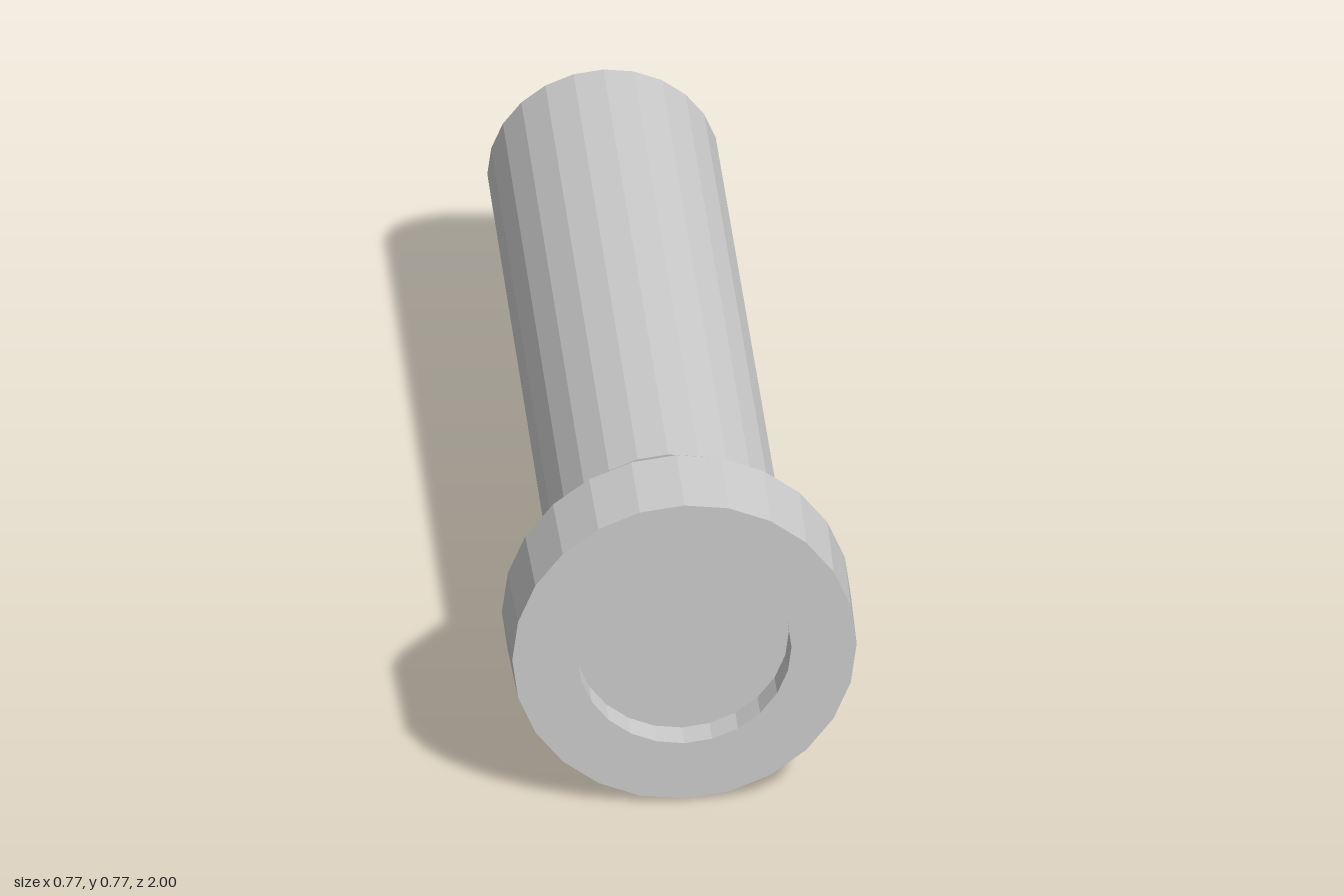
import * as THREE from 'three';

const SIDES = 24;
const CENTRE_Y = 0.383;

// Faceted solid turned around the z axis; profile is [radius, z] from back to front
function turned(name, profile, material) {
  const points = profile.map(([r, z]) => new THREE.Vector2(r, z));
  const geometry = new THREE.LatheGeometry(points, SIDES);
  geometry.rotateX(Math.PI / 2);
  const mesh = new THREE.Mesh(geometry, material);
  mesh.name = name;
  mesh.position.y = CENTRE_Y;
  return mesh;
}

export function createModel() {
  const group = new THREE.Group();
  group.name = 'flashlight';
  const grey = new THREE.MeshStandardMaterial({ color: 0xcccccc, flatShading: true });

  // Long, slightly tapered handle with a closed back end
  group.add(turned('handle', [[0, -1], [0.255, -1], [0.26, 0.6]], grey));

  // Flared head, front rim and the wall of the shallow recess
  group.add(turned('head', [[0.26, 0.6], [0.383, 0.8], [0.378, 1], [0.235, 1], [0.235, 0.935]], grey));

  // Flat lens at the bottom of the recess
  group.add(turned('lens', [[0.235, 0.935], [0, 0.935]], grey));

  return group;
}
